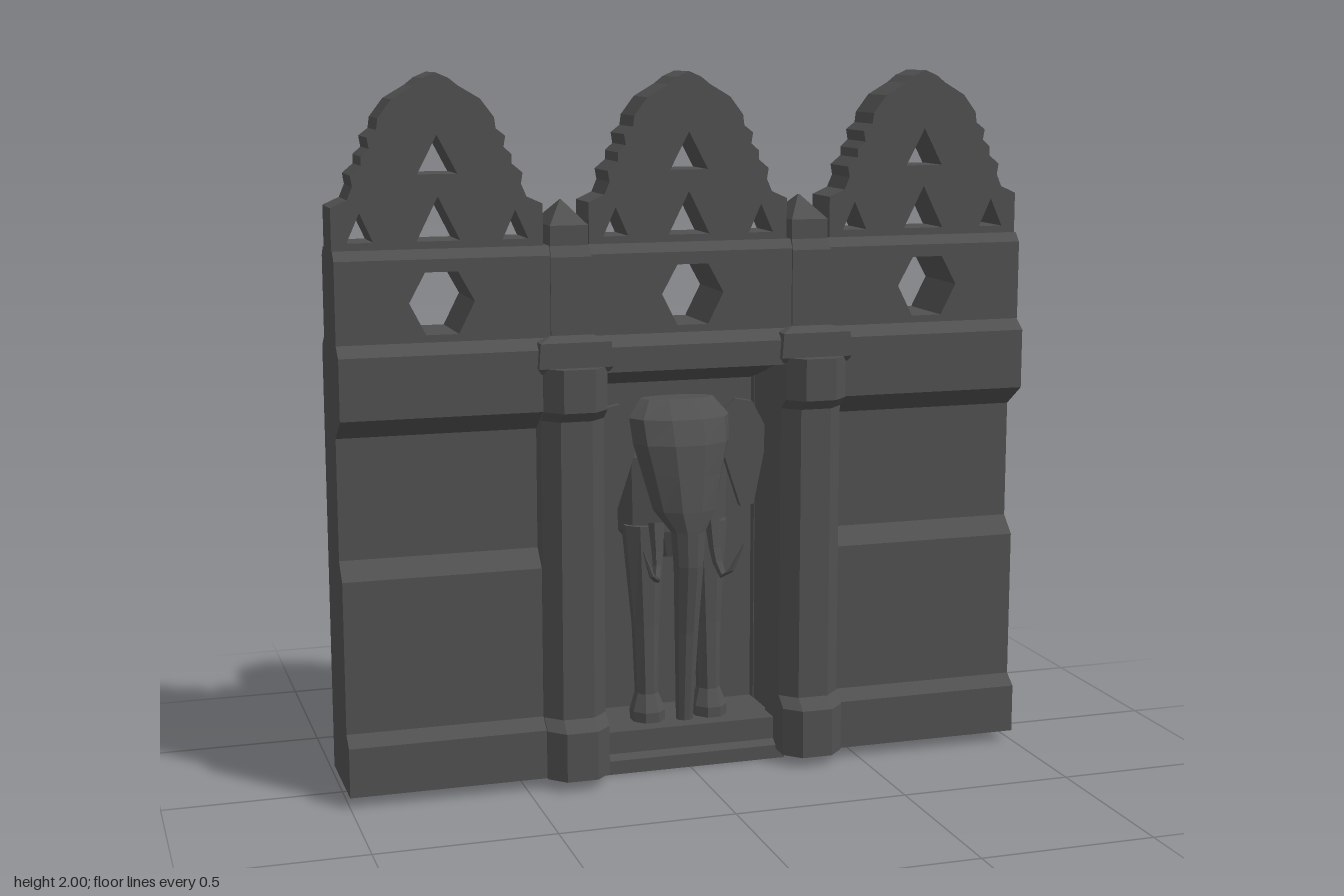
import * as THREE from 'three';

const stone = new THREE.MeshStandardMaterial({ color: 0x505050 });
stone.name = 'dark stone';

export function createModel() {
  const model = new THREE.Group();
  model.name = 'shrineWall';

  function add(name, geometry, x = 0, parent = model) {
    const flat = geometry.index ? geometry.toNonIndexed() : geometry;
    flat.computeVertexNormals();
    const mesh = new THREE.Mesh(flat, stone);
    mesh.name = name;
    mesh.position.x = x;
    parent.add(mesh);
    return mesh;
  }

  const outline = (pts) => new THREE.Shape(pts.map(([x, y]) => new THREE.Vector2(x, y)));
  const box = (x0, x1, y0, y1, z0, z1) =>
    new THREE.BoxGeometry(x1 - x0, y1 - y0, z1 - z0).translate((x0 + x1) / 2, (y0 + y1) / 2, (z0 + z1) / 2);

  // A [z, y] side profile swept along x
  const prism = (profile, x0, x1) =>
    new THREE.ExtrudeGeometry(outline(profile), { depth: x1 - x0, bevelEnabled: false })
      .rotateY(-Math.PI / 2).translate(x1, 0, 0);

  // A front outline with holes, swept along z
  function slab(pts, holes, z0, z1) {
    const shape = outline(pts);
    shape.holes = holes.map((h) => outline(h));
    return new THREE.ExtrudeGeometry(shape, { depth: z1 - z0, bevelEnabled: false }).translate(0, 0, z0);
  }

  // Skin over rings listed from bottom to top, each counter-clockwise from above
  function loft(rings) {
    const pos = [];
    const n = rings[0].length;
    const tri = (...p) => p.forEach((v) => pos.push(...v));
    for (let r = 0; r + 1 < rings.length; r++) {
      for (let i = 0; i < n; i++) {
        const j = (i + 1) % n, lo = rings[r], hi = rings[r + 1];
        tri(lo[i], lo[j], hi[j]);
        tri(lo[i], hi[j], hi[i]);
      }
    }
    const top = rings[rings.length - 1];
    for (let i = 1; i + 1 < n; i++) {
      tri(rings[0][0], rings[0][i + 1], rings[0][i]);
      tri(top[0], top[i], top[i + 1]);
    }
    const g = new THREE.BufferGeometry();
    g.setAttribute('position', new THREE.Float32BufferAttribute(pos, 3));
    return g;
  }

  const rect = ([y, hx, hz]) => [[-hx, y, hz], [hx, y, hz], [hx, y, -hz], [-hx, y, -hz]];
  const oval = (sides) => ([y, z, rx, rz, x = 0]) => Array.from({ length: sides }, (_, i) => {
    const t = ((i + 0.5) / sides) * Math.PI * 2;
    return [x + rx * Math.sin(t), y, z + rz * Math.cos(t)];
  });

  // Side bays with a stepped face, a sloping overhang and a plinth
  const bay = [[-0.145, 0.03], [0.145, 0.03], [0.145, 0.17], [0.106, 0.2], [0.106, 0.63], [0.058, 0.68],
    [0.058, 1.02], [0.145, 1.08], [0.145, 1.25], [0.105, 1.28], [-0.105, 1.28], [-0.145, 1.25]];
  add('leftBay', prism(bay, 0.27, 1));
  add('rightBay', prism(bay, -1, -0.27));

  // Niche: floor, back, sloping ceiling and the lintel over it
  const niche = [[-0.2, 0.03], [0.09, 0.03], [0.09, 0.04], [0.07, 0.055], [0.07, 0.12], [-0.16, 0.12],
    [-0.16, 1.1], [0.1, 1.18], [0.1, 1.2], [-0.2, 1.2]];
  add('niche', prism(niche, -0.27, 0.27));
  add('nicheSill', box(-0.29, 0.29, 0, 0.03, -0.2, 0.09));
  add('lintel', prism([[-0.145, 1.18], [0.145, 1.18], [0.145, 1.25], [0.105, 1.28],
    [-0.105, 1.28], [-0.145, 1.25]], -0.27, 0.27));

  // Pillars, capitals, finials and back pilasters on both sides of the niche
  const plan = ([y, front]) => [[-0.09, y, 0], [-0.09, y, front - 0.045], [-0.045, y, front],
    [0.045, y, front], [0.09, y, front - 0.045], [0.09, y, 0]];
  const pillar = [[0.03, 0.2], [0.17, 0.2], [0.2, 0.16], [1.05, 0.16], [1.08, 0.2], [1.2, 0.2]].map(plan);
  const cornice = [[1.185, 0.095, 0.155], [1.2, 0.105, 0.165], [1.27, 0.1, 0.165], [1.285, 0.06, 0.12]].map(rect);
  const finial = [[1.27, 0.058, 0.115], [1.5, 0.058, 0.115], [1.53, 0.054, 0.095],
    [1.585, 0.054, 0.095], [1.65, 0.002, 0.002]].map(rect);
  for (const s of [-1, 1]) {
    const x = s * 0.352;
    add('pillar', loft(pillar), x);
    add('corniceBlock', loft(cornice), x);
    add('finialPost', loft(finial), x);
    add('backPilaster', box(-0.06, 0.06, 0.03, 1.2, -0.155, -0.1), x);
    add('nicheBackEdge', box(-0.011, 0.011, 0.03, 1.2, -0.2, -0.13), s * 0.279);
  }

  // Pierced band
  const centres = [-0.71, 0, 0.71];
  const hexagon = [[-0.045, 1.3], [0.045, 1.3], [0.09, 1.388], [0.045, 1.47], [-0.045, 1.47], [-0.09, 1.388]];
  add('piercedBand', slab([[-1, 1.28], [1, 1.28], [1, 1.505], [-1, 1.505]],
    centres.map((c) => hexagon.map(([x, y]) => [x + c, y])), -0.105, 0.108));
  add('bandCap', prism([[-0.105, 1.505], [0.108, 1.505], [0.085, 1.53], [-0.082, 1.53]], -1, 1));

  // Scalloped crests pierced by triangles
  const half = [[0.29, 1.52], [0.29, 1.645], [0.245, 1.665], [0.23, 1.7], [0.235, 1.73], [0.205, 1.755],
    [0.205, 1.78], [0.183, 1.8], [0.188, 1.83], [0.162, 1.85], [0.158, 1.88], [0.12, 1.93],
    [0.06, 1.965], [0.035, 1.985]];
  const crest = [...half, [0, 2], ...half.map(([x, y]) => [-x, y]).reverse()];
  const triangle = (x, y, w, h) => [[x - w, y], [x + w, y], [x, y + h]];
  const piercings = [triangle(0, 1.73, 0.055, 0.105), triangle(0, 1.55, 0.06, 0.12),
    triangle(-0.213, 1.55, 0.036, 0.08), triangle(0.213, 1.55, 0.036, 0.08)];
  for (const c of centres) add('crest', slab(crest, piercings, -0.065, 0.073), c);

  // Elephant standing in the niche
  const elephant = new THREE.Group();
  elephant.name = 'elephant';
  model.add(elephant);
  add('headAndTrunk', loft([[0.13, 0.03, 0.026, 0.025], [0.4, 0.05, 0.036, 0.035], [0.6, 0.07, 0.045, 0.045],
    [0.7, 0.065, 0.052, 0.05], [0.76, 0.03, 0.095, 0.085], [0.86, 0.01, 0.12, 0.095],
    [0.95, 0, 0.145, 0.095], [1.02, -0.02, 0.15, 0.085], [1.07, -0.05, 0.11, 0.045]].map(oval(10))), 0, elephant);
  add('body', loft([[0.6, -0.09, 0.1, 0.05], [0.68, -0.09, 0.165, 0.08], [0.9, -0.09, 0.17, 0.08],
    [1.02, -0.11, 0.11, 0.055]].map(oval(10))), 0, elephant);

  const ear = [[0.12, 0.96], [0.15, 0.86], [0.19, 0.74], [0.23, 0.745], [0.262, 0.9], [0.262, 0.98],
    [0.225, 1.05], [0.175, 1.06], [0.14, 1.03]];
  const tuskPath = new THREE.CatmullRomCurve3([new THREE.Vector3(0.085, 0.72, 0.03),
    new THREE.Vector3(0.09, 0.6, 0.06), new THREE.Vector3(0.105, 0.56, 0.09), new THREE.Vector3(0.15, 0.66, 0.12)]);
  const steps = 7, sides = 6;
  for (const s of [-1, 1]) {
    // Mirror each outline by its points so that faces keep their direction
    add('ear', slab(ear.map(([x, y]) => [s * x, y]), [], -0.05, -0.025), 0, elephant);
    add('leg', loft([[0.12, -0.03, 0.052, 0.055], [0.15, -0.03, 0.052, 0.055], [0.2, -0.04, 0.034, 0.04],
      [0.4, -0.05, 0.04, 0.042], [0.7, -0.07, 0.065, 0.06]].map(oval(8)).map((r) =>
      r.map(([x, y, z]) => [x + s * 0.095, y, z]))), 0, elephant);

    // Tusk tapering to its tip
    const path = new THREE.CatmullRomCurve3(tuskPath.points.map((p) => new THREE.Vector3(s * p.x, p.y, p.z)));
    const tusk = new THREE.TubeGeometry(path, steps, 0.024, sides);
    const p = tusk.attributes.position, v = new THREE.Vector3();
    for (let i = 0; i < p.count; i++) {
      const u = Math.floor(i / (sides + 1)) / steps;
      v.fromBufferAttribute(p, i).lerp(path.getPointAt(u), u * 0.92);
      p.setXYZ(i, v.x, v.y, v.z);
    }
    add('tusk', tusk, 0, elephant);
  }

  return model;
}
